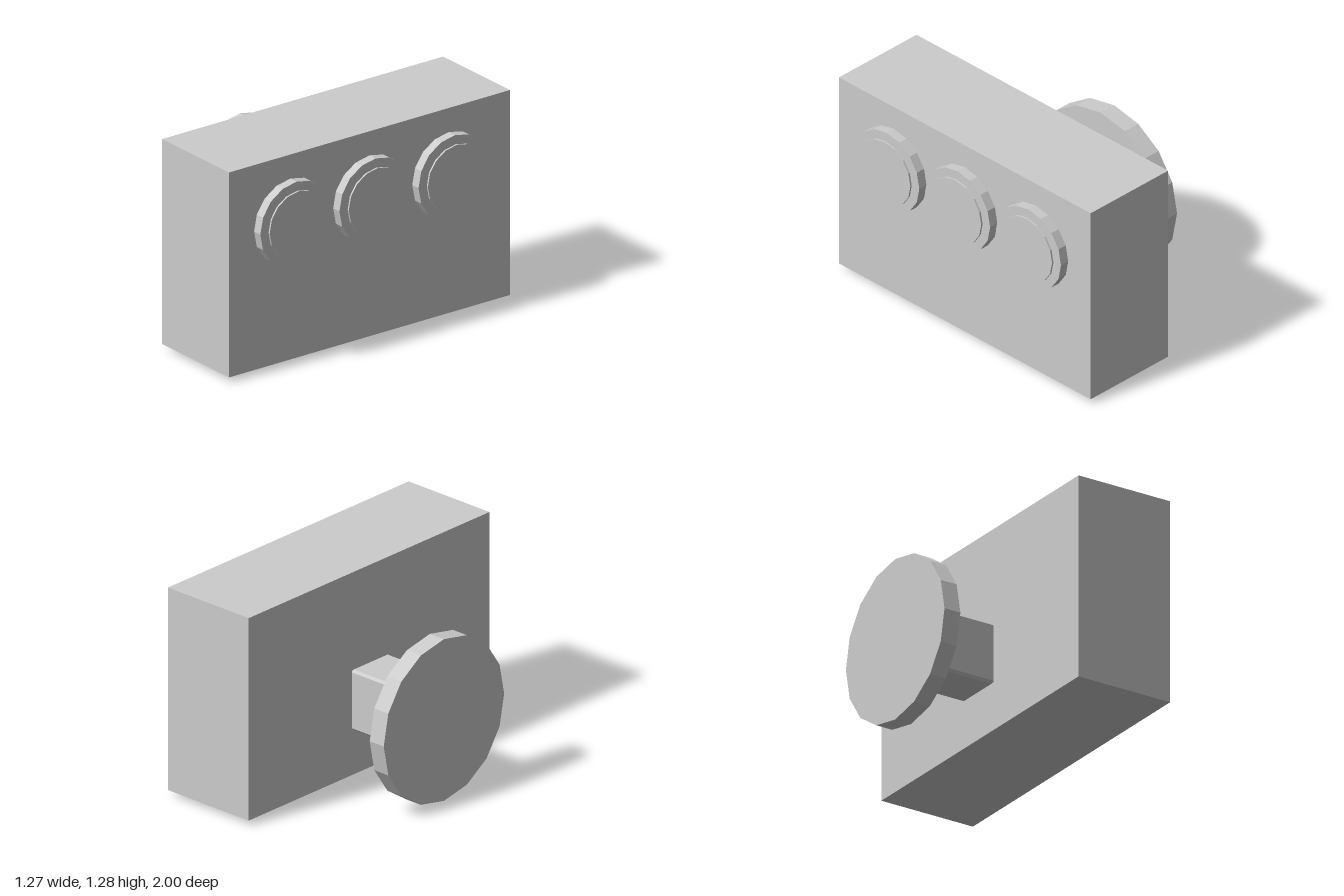
import * as THREE from 'three';
import { ConvexGeometry } from 'three/addons/geometries/ConvexGeometry.js';

export function createModel() {
  const model = new THREE.Group();
  const grey = new THREE.MeshStandardMaterial({ color: 0xcccccc });
  grey.name = 'light grey';
  grey.flatShading = true;

  function add(name, geometry, x, y, z) {
    const mesh = new THREE.Mesh(geometry, grey);
    mesh.name = name;
    mesh.position.set(x, y, z);
    model.add(mesh);
  }

  // 16-sided disc whose axis runs along x
  function disc(name, radius, x0, x1, y, z) {
    const geometry = new THREE.CylinderGeometry(radius, radius, x1 - x0, 16).rotateZ(-Math.PI / 2);
    add(name, geometry, (x0 + x1) / 2, y, z);
  }

  // Box with single-facet chamfers on every edge
  function chamferedBox(w, h, d, c) {
    const points = [];
    for (const sx of [-1, 1]) for (const sy of [-1, 1]) for (const sz of [-1, 1]) {
      for (let axis = 0; axis < 3; axis++) {
        const inset = [c, c, c];
        inset[axis] = 0;
        points.push(new THREE.Vector3(
          sx * (w / 2 - inset[0]), sy * (h / 2 - inset[1]), sz * (d / 2 - inset[2])));
      }
    }
    return new ConvexGeometry(points);
  }

  // Main block
  add('body', new THREE.BoxGeometry(0.622, 1.252, 2), 0.249, 0.657, 0);

  // Mounting plate and the post joining it to the body
  disc('mountingPlate', 0.5, -0.638, -0.53, 0.5, 0);
  add('post', chamferedBox(0.468, 0.373, 0.31, 0.014), -0.296, 0.502, -0.002);

  // Row of three round lamps, each a rim with a thin face just in front
  for (const z of [-0.563, 0, 0.563]) {
    disc('lampRim', 0.259, 0.56, 0.618, 0.877, z);
    disc('lampFace', 0.206, 0.625, 0.636, 0.877, z);
  }

  return model;
}
